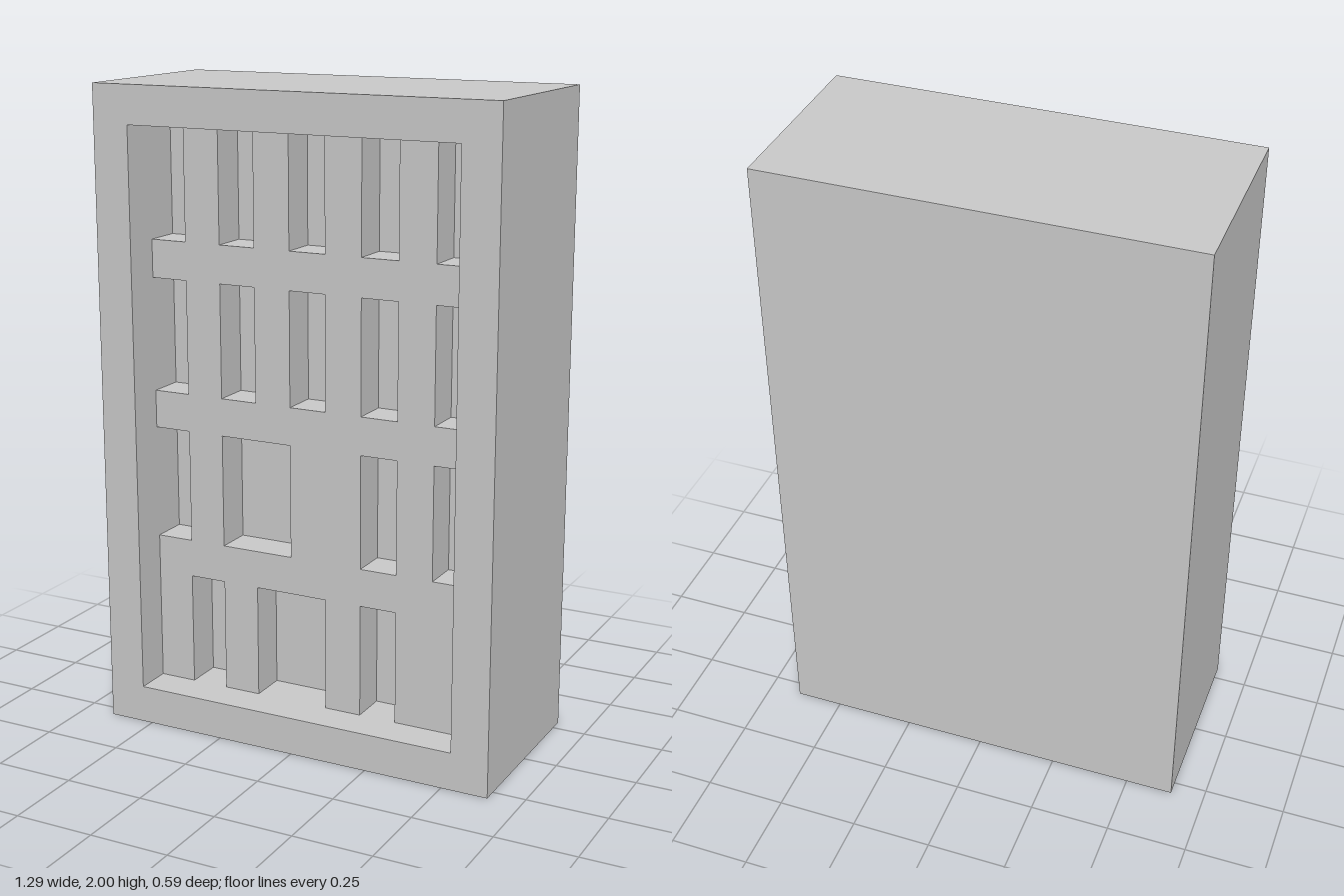
import * as THREE from 'three';

// Everything sits on a square grid: 11 wide, 17 high, 5 deep
const U = 2 / 17, COLS = 11, ROWS = 17, DEPTH = 5;

// Trace a rectangle given in grid cells
function rect(path, col, row, w, h) {
  const x0 = (col - COLS / 2) * U, x1 = x0 + w * U;
  const y0 = row * U, y1 = y0 + h * U;
  path.moveTo(x0, y0);
  path.lineTo(x1, y0);
  path.lineTo(x1, y1);
  path.lineTo(x0, y1);
  path.closePath();
  return path;
}

export function createModel() {
  const group = new THREE.Group();
  group.name = 'buildingFacade';
  const material = new THREE.MeshStandardMaterial({ color: 0xcccccc });

  // Full-size slab with rectangular holes; layer and thickness count from the back
  function slab(name, layer, thickness, holes) {
    const shape = rect(new THREE.Shape(), 0, 0, COLS, ROWS);
    for (const hole of holes) shape.holes.push(rect(new THREE.Path(), ...hole));
    const geometry = new THREE.ExtrudeGeometry(shape, { depth: thickness * U, bevelEnabled: false });
    const mesh = new THREE.Mesh(geometry, material);
    mesh.name = name;
    mesh.position.z = (layer - DEPTH / 2) * U;
    group.add(mesh);
  }

  // Openings per floor: bottom row, then [column, width] of each
  const floors = [
    [1, [[2, 1], [4, 2], [7, 1]]],
    [5, [[1, 1], [3, 2], [7, 1], [9, 1]]],
    [9, [[1, 1], [3, 1], [5, 1], [7, 1], [9, 1]]],
    [13, [[1, 1], [3, 1], [5, 1], [7, 1], [9, 1]]],
  ];
  const openings = floors.flatMap(([row, list]) => list.map(([col, w]) => [col, row, w, 3]));

  slab('backBlock', 0, 3, []);
  slab('windowWall', 3, 1, openings);
  slab('frontFrame', 4, 1, [[1, 1, COLS - 2, ROWS - 2]]);
  return group;
}
